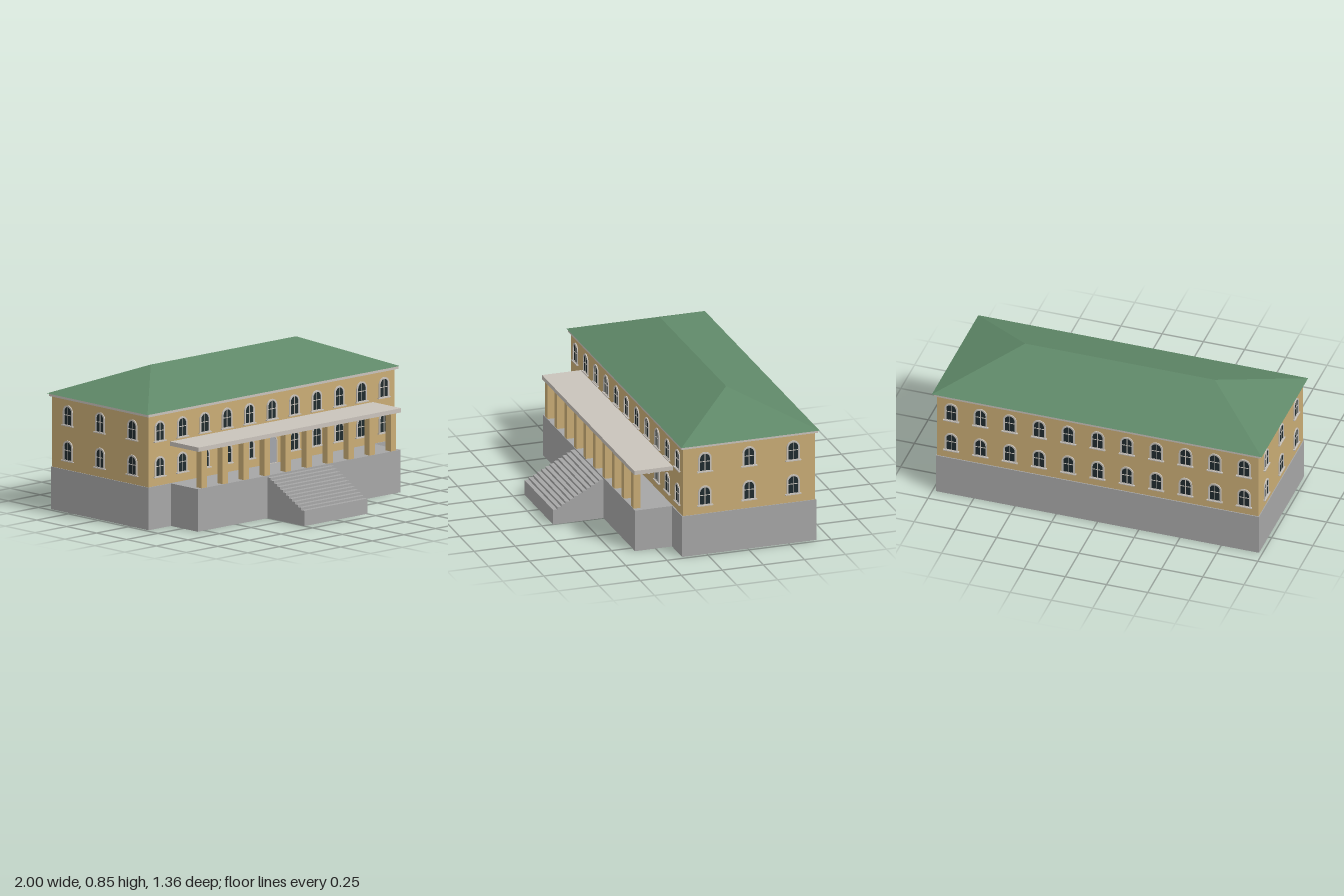
import * as THREE from 'three';

const mat = (name, color, side = THREE.FrontSide) => {
  const m = new THREE.MeshStandardMaterial({ color, side });
  m.name = name;
  return m;
};

export function createModel() {
  const stone = mat('grey stone', 0xa6a6a6, THREE.DoubleSide);
  const plaster = mat('ochre plaster', 0xc9ac75);
  const trim = mat('pale trim', 0xc9c3bb);
  const green = mat('green roof', 0x5f8868);
  const glass = mat('dark glass', 0x1f2b2e);
  const doorGrey = mat('door grey', 0xa3a5ab);

  const model = new THREE.Group();
  model.name = 'villa';

  const add = (parent, name, geometry, material, x = 0, y = 0, z = 0) => {
    const mesh = new THREE.Mesh(geometry, material);
    mesh.name = name;
    mesh.position.set(x, y, z);
    parent.add(mesh);
    return mesh;
  };
  // Box given by its limits, centred on x = 0
  const block = (name, material, halfX, y0, y1, z0, z1, openBottom = false) => {
    const g = new THREE.BoxGeometry(halfX * 2, y1 - y0, z1 - z0);
    if (openBottom) { // drop the downward face (fourth side)
      const index = Array.from(g.index.array);
      index.splice(18, 6);
      g.setIndex(index);
      g.clearGroups();
    }
    return add(model, name, g, material, 0, (y0 + y1) / 2, (z0 + z1) / 2);
  };

  // Plinths, hollow below
  block('plinth', stone, 0.98, 0, 0.25, -0.667, 0.15, true);
  block('porchPlinth', stone, 0.803, 0, 0.25, 0.15, 0.375, true);

  // Walls and eaves
  block('walls', plaster, 0.975, 0.25, 0.667, -0.661, 0.144);
  block('cornice', trim, 0.99, 0.665, 0.681, -0.674, 0.158);

  // Hipped roof: four eave corners and two ridge ends
  const roof = new THREE.BufferGeometry();
  const y = 0.681, zf = 0.162, zb = -0.68;
  roof.setAttribute('position', new THREE.Float32BufferAttribute([
    -1, y, zf, 1, y, zf, 1, y, zb, -1, y, zb, -0.575, 0.853, -0.259, 0.575, 0.853, -0.259,
  ], 3));
  roof.setIndex([0, 1, 5, 0, 5, 4, 1, 2, 5, 2, 3, 4, 2, 4, 5, 3, 0, 4, 0, 3, 2, 0, 2, 1]);
  const flatRoof = roof.toNonIndexed();
  flatRoof.computeVertexNormals();
  add(model, 'roof', flatRoof, green);

  // Porch canopy and its row of square pillars
  block('porchCanopy', trim, 0.803, 0.47, 0.495, 0.144, 0.38);
  const pillar = new THREE.BoxGeometry(0.043, 0.22, 0.043);
  for (let i = 0; i < 10; i++) add(model, 'porchPillar', pillar, plaster, (i - 4.5) * 0.1664, 0.36, 0.351);

  // Front stairs: a stepped side profile extruded across
  const steps = 12, tread = 0.306 / steps, riser = 0.149 / (steps - 1);
  const profile = new THREE.Shape();
  profile.moveTo(0.375, 0);
  for (let i = 0; i < steps; i++) {
    profile.lineTo(0.375 + i * tread, 0.239 - i * riser);
    profile.lineTo(0.375 + (i + 1) * tread, 0.239 - i * riser);
  }
  profile.lineTo(0.681, 0);
  profile.closePath();
  const stairs = new THREE.ExtrudeGeometry(profile, { depth: 0.5, bevelEnabled: false });
  stairs.rotateY(-Math.PI / 2); // profile x becomes z, depth runs to -x
  add(model, 'frontStairs', stairs, stone, 0.25);

  // Round-headed outline standing on y = 0
  const arch = (half, height, Type = THREE.Shape, bottom = 0) => {
    const s = new Type();
    s.moveTo(-half, bottom);
    s.lineTo(half, bottom);
    s.lineTo(half, height - half);
    s.absarc(0, height - half, half, 0, Math.PI, false);
    s.closePath();
    return s;
  };
  const archFrame = (half, height, border) => {
    const s = arch(half, height);
    s.holes.push(arch(half - border, height - border, THREE.Path, 0.004));
    return new THREE.ExtrudeGeometry(s, { depth: 0.006, bevelEnabled: false, curveSegments: 10 });
  };

  // Window parts, shared by all windows
  const frameGeo = archFrame(0.04, 0.118, 0.01);
  const paneGeo = new THREE.ShapeGeometry(arch(0.033, 0.111), 10);
  const uprightGeo = new THREE.BoxGeometry(0.004, 0.106, 0.003);
  const crossGeo = new THREE.BoxGeometry(0.064, 0.004, 0.003);
  const sillGeo = new THREE.BoxGeometry(0.096, 0.006, 0.012);
  const addWindow = (x, yBase, z, turn) => {
    const w = new THREE.Group();
    w.name = 'window';
    add(w, 'windowFrame', frameGeo, trim);
    add(w, 'windowPane', paneGeo, glass, 0, 0, 0.002);
    add(w, 'windowUpright', uprightGeo, trim, 0, 0.056, 0.003);
    add(w, 'windowCrossbar', crossGeo, trim, 0, 0.06, 0.003);
    add(w, 'windowSill', sillGeo, trim, 0, -0.002, 0.006);
    w.position.set(x, yBase, z);
    w.rotation.y = turn;
    model.add(w);
  };

  for (const yBase of [0.304, 0.512]) {
    for (let i = -5; i <= 5; i++) {
      if (i !== 0 || yBase > 0.4) addWindow(i * 0.1776, yBase, 0.144, 0);
      addWindow(i * 0.1776, yBase, -0.661, Math.PI);
    }
    for (let i = -1; i <= 1; i++) {
      addWindow(0.975, yBase, -0.258 + i * 0.269, Math.PI / 2);
      addWindow(-0.975, yBase, -0.258 + i * 0.269, -Math.PI / 2);
    }
  }

  // Arched front door in the middle bay
  add(model, 'doorFrame', archFrame(0.041, 0.168, 0.008), trim, 0, 0.25, 0.144);
  add(model, 'door', new THREE.ShapeGeometry(arch(0.035, 0.162), 10), doorGrey, 0, 0.25, 0.147);

  return model;
}
